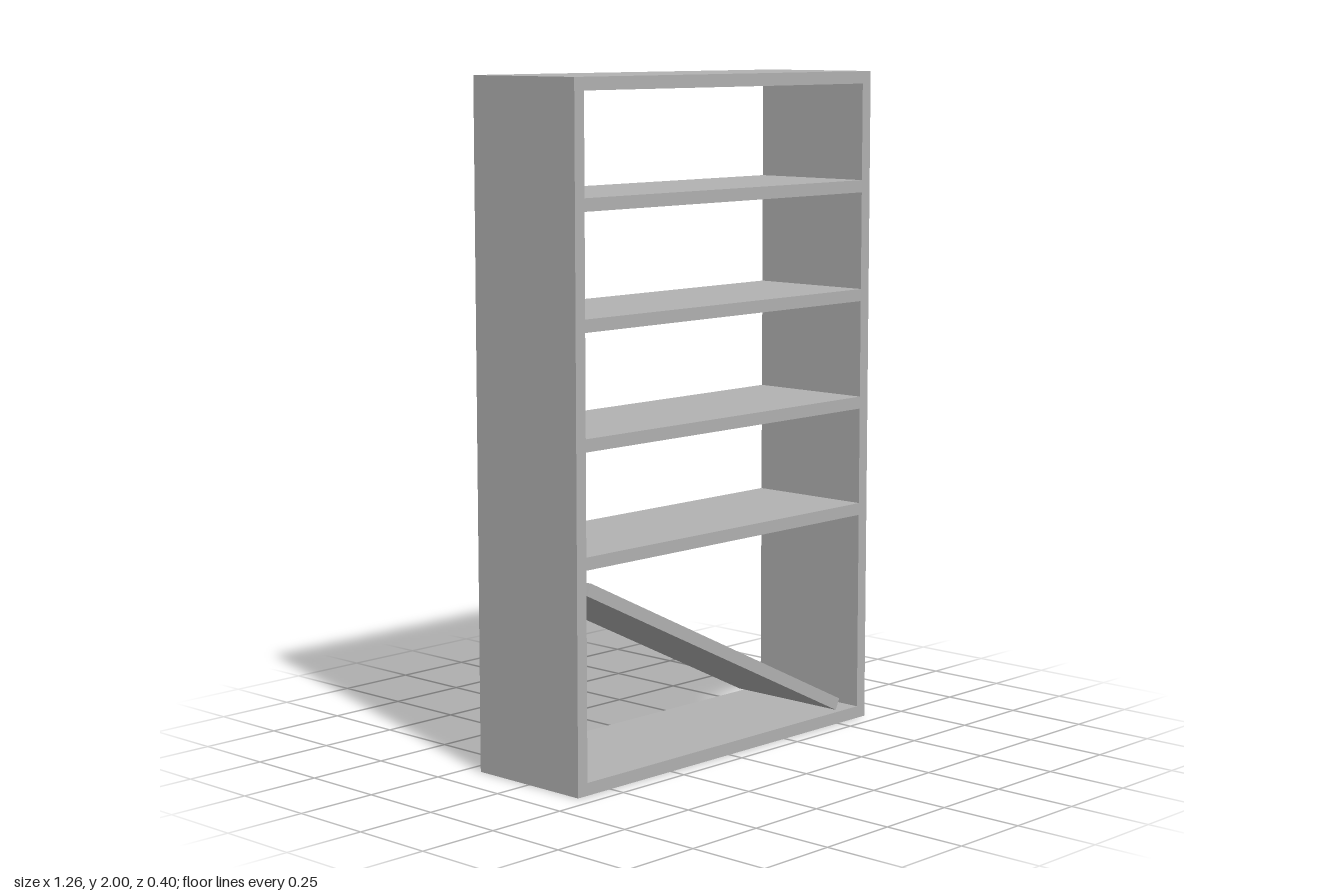
import * as THREE from 'three';

export function createModel() {
  const W = 1.258, H = 2, D = 0.4, T = 0.037;
  const inner = W - 2 * T;
  const grey = new THREE.MeshStandardMaterial({ color: 0xb2b2b2 });
  grey.name = 'plain grey';

  const model = new THREE.Group();
  model.name = 'bookcase';

  function board(name, w, h, x, y, tilt = 0) {
    const mesh = new THREE.Mesh(new THREE.BoxGeometry(w, h, D), grey);
    mesh.name = name;
    mesh.position.set(x, y, 0);
    mesh.rotation.z = tilt;
    model.add(mesh);
  }

  // Upright side panels
  board('leftSide', T, H, (W - T) / 2, H / 2);
  board('rightSide', T, H, -(W - T) / 2, H / 2);

  // Bottom and top panels between the sides
  board('bottomPanel', inner, T, 0, T / 2);
  board('topPanel', inner, T, 0, H - T / 2);

  // Four fixed shelves, evenly spaced
  for (let i = 0; i < 4; i++) board(`shelf${i + 1}`, inner, T, 0, 0.661 + i * 0.331);

  // Loose shelf that has dropped at one end
  board('fallenShelf', 1.2, T, -0.042, 0.324, -0.453);

  return model;
}
